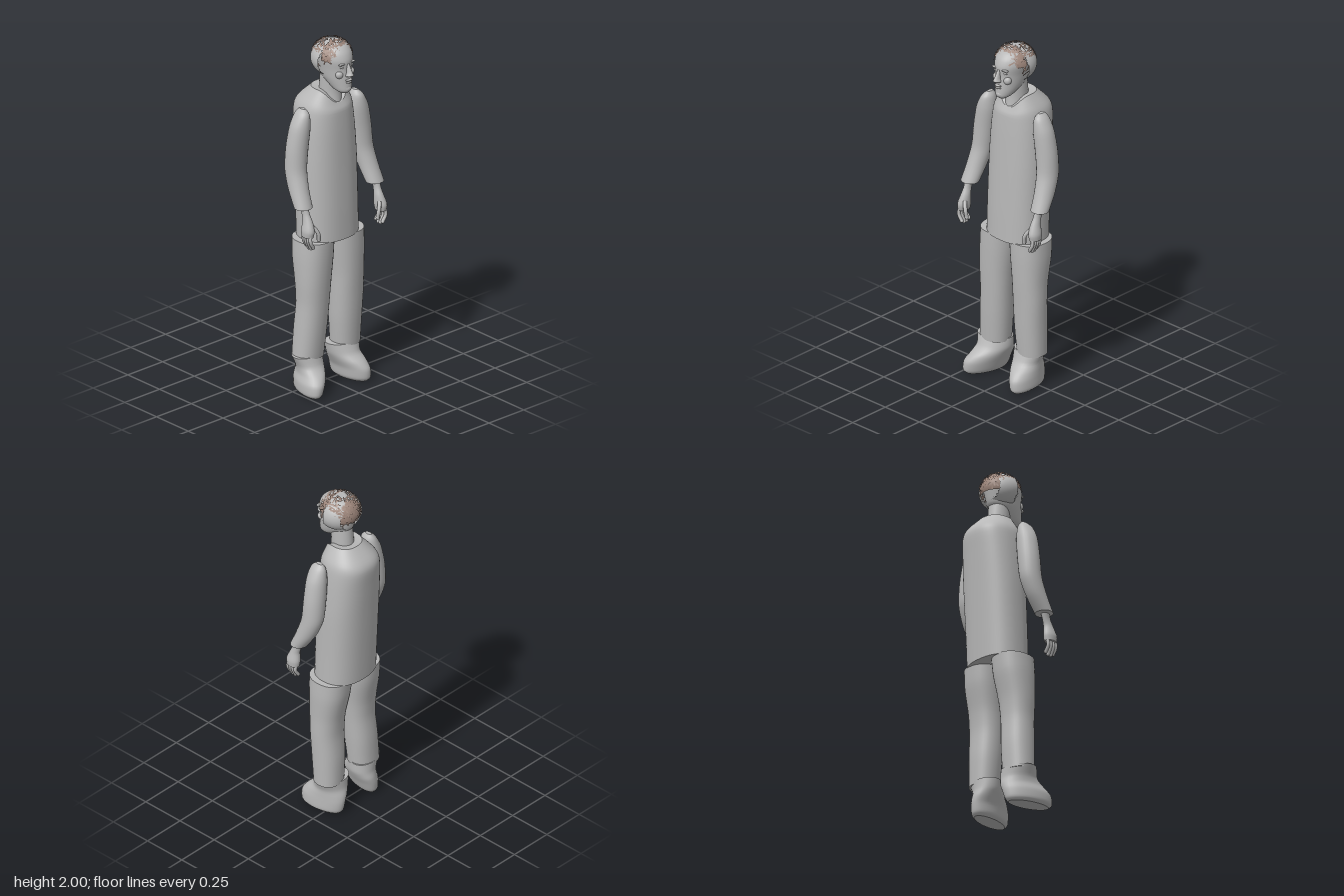
import * as THREE from 'three';

const grey = new THREE.MeshStandardMaterial({ color: 0xb8b8b8, side: THREE.DoubleSide });
grey.name = 'plainGrey';
const brown = new THREE.MeshStandardMaterial({ color: 0x9c857a, side: THREE.DoubleSide });
brown.name = 'hairBrown';

// Smooth loft through rings [y, xMin, xMax, zMin, zMax], listed from bottom to top.
// power < 1 squares the ring, dip lowers the front of the top ring, splay shears x by z.
function loft(rings, { side = 1, power = 1, seg = 32, steps = 4, dip = 0, splay = 0 } = {}) {
  const r = rings.map(([y, a, b, c, d]) => (side > 0 ? [y, a, b, c, d] : [y, -b, -a, c, d]));
  const curve = (f) => new THREE.CatmullRomCurve3(r.map(f), false, 'catmullrom', 0.4);
  const cx = curve((s) => new THREE.Vector3(s[0], s[1], s[2]));
  const cz = curve((s) => new THREE.Vector3(s[3], s[4], 0));
  const n = (r.length - 1) * steps;
  const top = r[r.length - 1][0];
  const pos = [], idx = [];
  const shape = (v) => Math.sign(v) * Math.abs(v) ** power;
  for (let i = 0; i <= n; i++) {
    const p = cx.getPoint(i / n), q = cz.getPoint(i / n);
    const fall = Math.max(0, 1 - (top - p.x) / 0.12);
    for (let j = 0; j < seg; j++) {
      const a = (j / seg) * Math.PI * 2;
      const u = shape(Math.cos(a)), w = shape(Math.sin(a));
      const z = (q.x + q.y) / 2 + (w * (q.y - q.x)) / 2;
      const x = (p.y + p.z) / 2 + (u * (p.z - p.y)) / 2 + splay * z * side;
      pos.push(x, p.x - dip * fall * Math.max(0, w) ** 3, z);
      if (i < n) {
        const k = i * seg + j, l = i * seg + ((j + 1) % seg);
        idx.push(k, k + seg, l, l, k + seg, l + seg);
      }
    }
  }
  // End caps with their own corners, so that the rims stay sharp
  for (const end of [0, n]) {
    const base = pos.length / 3;
    const ring = pos.slice(end * seg * 3, (end + 1) * seg * 3);
    pos.push(...ring);
    const mid = [0, 1, 2].map((c) => ring.reduce((s, v, i) => (i % 3 === c ? s + v : s), 0) / seg);
    pos.push(...mid);
    for (let j = 0; j < seg; j++) {
      const a = base + j, b = base + ((j + 1) % seg), m = base + seg;
      end ? idx.push(a, m, b) : idx.push(a, b, m);
    }
  }
  const g = new THREE.BufferGeometry();
  g.setAttribute('position', new THREE.Float32BufferAttribute(pos, 3));
  g.setIndex(idx);
  g.computeVertexNormals();
  return g;
}

// Ellipsoid with only the faces whose centre passes the rule
function partShell(center, radii, keep) {
  const g = new THREE.SphereGeometry(1, 64, 40).scale(...radii).translate(...center);
  const p = g.attributes.position, src = g.index.array, out = [];
  for (let i = 0; i < src.length; i += 3) {
    const t = [src[i], src[i + 1], src[i + 2]];
    const avg = (f) => (f(t[0]) + f(t[1]) + f(t[2])) / 3;
    if (keep(avg((k) => p.getX(k)), avg((k) => p.getY(k)), avg((k) => p.getZ(k)))) out.push(...t);
  }
  g.setIndex(out);
  return g;
}

// Short crossing strands lying over the scalp
function strands(count, center, radii, hairline) {
  let s = 7;
  const rnd = () => (s = (s * 16807) % 2147483647) / 2147483647;
  const c = new THREE.Vector3(...center), rad = new THREE.Vector3(...radii);
  const pos = [];
  while (pos.length < count * 18) {
    const h = rnd() * 1.2 - 0.25, a = rnd() * Math.PI * 2;
    if (h > 0.97) continue;
    const w = Math.sqrt(1 - h * h);
    const n = new THREE.Vector3(Math.cos(a) * w, h, Math.sin(a) * w);
    const p = n.clone().multiply(rad).add(c);
    if (p.y < hairline(p.z)) continue;
    const t = new THREE.Vector3(rnd() - 0.5, rnd() - 0.5, rnd() - 0.5).cross(n).normalize();
    const b = t.clone().cross(n).multiplyScalar(0.0035);
    const q = t.multiplyScalar(0.025 + rnd() * 0.02).add(p).sub(c);
    q.multiplyScalar(1.02 / q.clone().divide(rad).length()).add(c);
    const quad = [p.clone().sub(b), p.clone().add(b), q.clone().add(b), q.clone().sub(b)];
    for (const k of [0, 1, 2, 0, 2, 3]) pos.push(...quad[k].toArray());
  }
  const g = new THREE.BufferGeometry();
  g.setAttribute('position', new THREE.Float32BufferAttribute(pos, 3));
  g.computeVertexNormals();
  return g;
}

export function createModel() {
  const model = new THREE.Group();
  const add = (name, geo, mat = grey, parent = model) => {
    const m = new THREE.Mesh(geo, mat);
    m.name = name;
    parent.add(m);
    return m;
  };
  const blob = (name, x, y, z, rx, ry, rz, parent) =>
    add(name, new THREE.SphereGeometry(1, 16, 12).scale(rx, ry, rz), grey, parent).position.set(x, y, z);

  // Long coat, low at the front of the collar
  add('coat', loft([
    [0.86, -0.17, 0.177, -0.14, 0.135], [1.05, -0.17, 0.177, -0.15, 0.13],
    [1.3, -0.168, 0.178, -0.165, 0.12], [1.48, -0.16, 0.17, -0.178, 0.112],
    [1.59, -0.148, 0.16, -0.185, 0.105], [1.64, -0.128, 0.145, -0.165, 0.1],
    [1.71, -0.075, 0.098, -0.095, 0.085]], { power: 0.85, seg: 48, dip: 0.07 }));

  for (const side of [1, -1]) {
    const word = side > 0 ? 'left' : 'right';
    // Sleeve bent forward at the elbow
    add(word + 'Sleeve', loft([
      [1.11, 0.205, 0.308, 0.045, 0.14], [1.2, 0.195, 0.303, -0.012, 0.105],
      [1.3, 0.18, 0.297, -0.048, 0.075], [1.42, 0.165, 0.288, -0.052, 0.07],
      [1.54, 0.152, 0.265, -0.045, 0.07], [1.61, 0.16, 0.23, -0.032, 0.06],
      [1.64, 0.178, 0.2, -0.01, 0.03]], { side, seg: 24 }));

    // Hand: wrist and palm, four fingers and a thumb
    const hand = new THREE.Group();
    hand.name = word + 'Hand';
    model.add(hand);
    add('palm', loft([
      [0.955, 0.235, 0.29, 0.095, 0.17], [0.99, 0.23, 0.292, 0.09, 0.175],
      [1.04, 0.232, 0.28, 0.095, 0.155], [1.08, 0.238, 0.275, 0.085, 0.135],
      [1.13, 0.235, 0.28, 0.07, 0.12]], { side, seg: 16 }), grey, hand);
    const finger = (name, pts, r) => {
      const v = pts.map(([x, y, z]) => new THREE.Vector3(x * side, y, z));
      add(name, new THREE.TubeGeometry(new THREE.CatmullRomCurve3(v), 8, r, 8), grey, hand);
      blob(name + 'Tip', ...v[v.length - 1].toArray(), r, r, r, hand);
    };
    for (let i = 0; i < 4; i++) {
      const z = 0.105 + i * 0.018, low = 0.895 - (i === 1 || i === 2 ? 0.01 : 0);
      finger('finger', [[0.267, 0.97, z], [0.27, 0.93, z + 0.005], [0.25, low, z + 0.004]], 0.01);
    }
    finger('thumb', [[0.24, 1.01, 0.15], [0.218, 0.97, 0.168], [0.212, 0.93, 0.165]], 0.011);
  }

  // Trousers; the right leg stands slightly further out
  const trousers = [
    [[0.19, 0.04, 0.2, -0.07, 0.085], [0.35, 0.028, 0.205, -0.07, 0.097],
      [0.5, 0.025, 0.21, -0.062, 0.105], [0.62, 0.022, 0.21, -0.072, 0.112],
      [0.76, 0.008, 0.215, -0.1, 0.118], [0.865, 0.0, 0.212, -0.11, 0.12]],
    [[0.19, 0.06, 0.235, -0.07, 0.085], [0.35, 0.045, 0.225, -0.07, 0.097],
      [0.5, 0.035, 0.215, -0.062, 0.105], [0.62, 0.025, 0.218, -0.072, 0.112],
      [0.76, 0.008, 0.218, -0.1, 0.118], [0.865, 0.0, 0.212, -0.11, 0.12]]];
  add('leftTrouserLeg', loft(trousers[0], { power: 0.9 }));
  add('rightTrouserLeg', loft(trousers[1], { side: -1, power: 0.9 }));

  // Shoes with the toes turned out
  add('leftShoe', loft([
    [0.0, 0.07, 0.165, -0.065, 0.16], [0.02, 0.053, 0.182, -0.08, 0.178],
    [0.07, 0.045, 0.182, -0.087, 0.178], [0.11, 0.028, 0.18, -0.085, 0.15],
    [0.15, 0.012, 0.18, -0.075, 0.105], [0.205, 0.002, 0.2, -0.072, 0.08]], { splay: 0.1 }));
  add('rightShoe', loft([
    [0.0, 0.12, 0.22, -0.065, 0.16], [0.02, 0.105, 0.235, -0.08, 0.178],
    [0.07, 0.085, 0.235, -0.087, 0.178], [0.11, 0.068, 0.222, -0.085, 0.15],
    [0.15, 0.055, 0.225, -0.075, 0.105], [0.205, 0.055, 0.25, -0.072, 0.08]], { side: -1, splay: 0.25 }));

  // Neck and head
  add('neck', loft([
    [1.62, -0.045, 0.065, -0.06, 0.085], [1.7, -0.045, 0.067, -0.055, 0.075],
    [1.8, -0.045, 0.067, -0.045, 0.08]], { seg: 24 }));
  const head = new THREE.Group();
  head.name = 'head';
  model.add(head);
  add('skull', loft([
    [1.713, -0.012, 0.034, 0.09, 0.145], [1.73, -0.032, 0.054, 0.05, 0.16],
    [1.76, -0.046, 0.07, 0.0, 0.16], [1.8, -0.06, 0.082, -0.05, 0.157],
    [1.85, -0.068, 0.09, -0.066, 0.153], [1.9, -0.076, 0.1, -0.076, 0.155],
    [1.94, -0.072, 0.096, -0.073, 0.14], [1.97, -0.05, 0.074, -0.045, 0.11],
    [1.987, -0.015, 0.039, 0.0, 0.06]]), grey, head);

  // Face: nose, brows, eyes, lips and chin
  add('nose', loft([
    [1.815, -0.007, 0.029, 0.14, 0.168], [1.823, -0.01, 0.032, 0.14, 0.188],
    [1.84, -0.002, 0.025, 0.14, 0.182], [1.885, 0.003, 0.02, 0.135, 0.158]], { seg: 16 }), grey, head);
  for (const side of [1, -1]) {
    blob('brow', 0.012 + side * 0.034, 1.887, 0.142, 0.024, 0.006, 0.012, head.name ? head : model);
    blob('eye', 0.012 + side * 0.033, 1.868, 0.138, 0.014, 0.007, 0.009, head);
    blob('cheek', 0.012 + side * 0.038, 1.825, 0.125, 0.024, 0.024, 0.022, head);
  }
  blob('upperLip', 0.012, 1.793, 0.157, 0.022, 0.006, 0.014, head);
  blob('lowerLip', 0.012, 1.78, 0.156, 0.019, 0.006, 0.013, head);
  blob('chin', 0.012, 1.74, 0.145, 0.024, 0.02, 0.018, head);

  // Bare band over the crown, reaching down behind the ears
  add('crownBand', partShell([0.012, 1.887, 0.03], [0.119, 0.1, 0.12],
    (x, y, z) => z < 0.045 && z > -0.055 && y > 1.805), grey, head);

  // Hair in front of and behind the band, with loose strands on top
  const hairline = (z) => (z > 0.1 ? 1.93 : z > 0.045 ? 1.9 : 1.865);
  const center = [0.012, 1.895, 0.026], radii = [0.104, 0.096, 0.114];
  add('hairCap', partShell(center, radii,
    (x, y, z) => y > hairline(z) && (z > 0.045 || z < -0.035)), brown, head);
  add('hairStrands', strands(260, center, [0.11, 0.102, 0.118], hairline), brown, head);

  return model;
}
